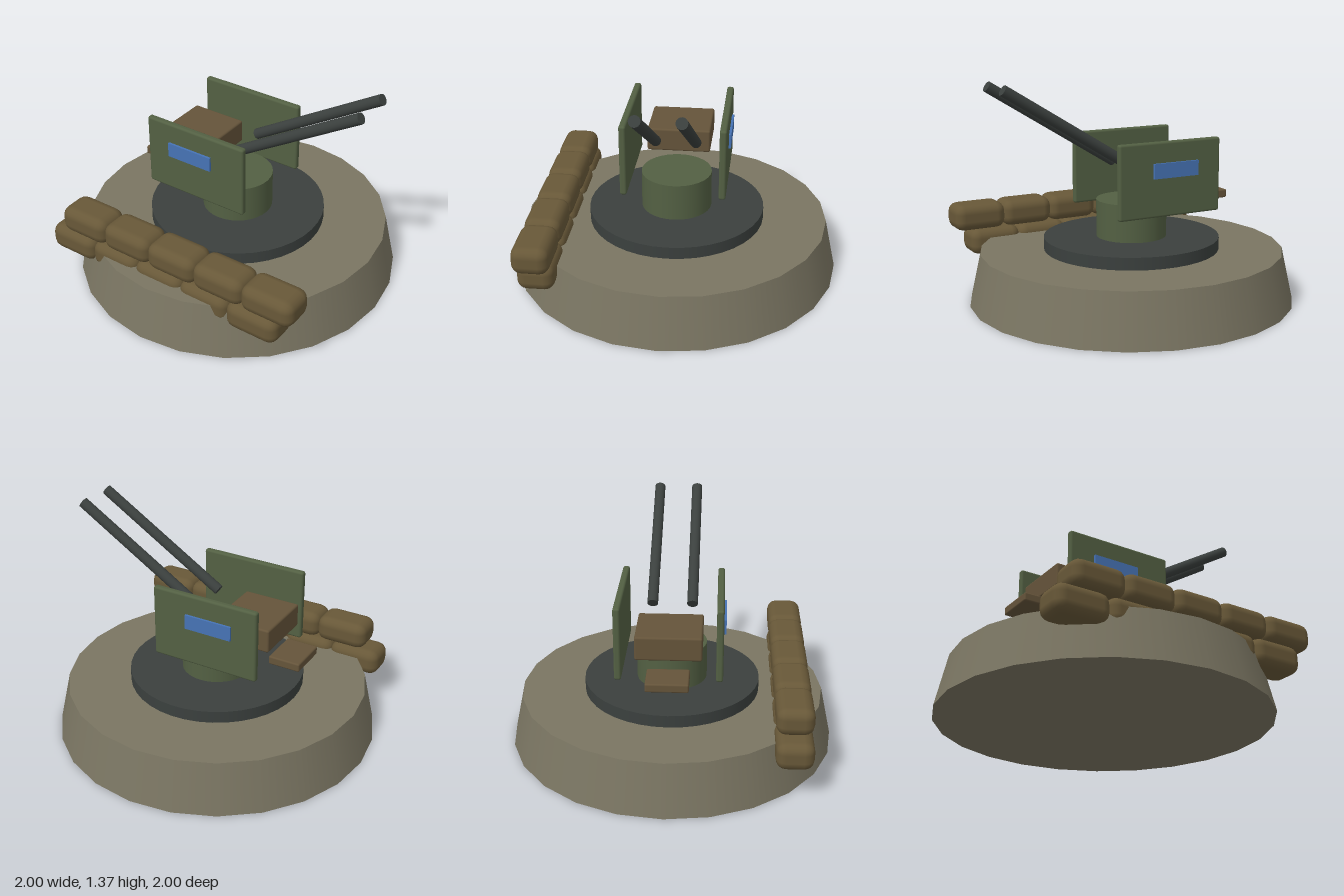
import * as THREE from 'three';
import { RoundedBoxGeometry } from 'three/addons/geometries/RoundedBoxGeometry.js';

const mat = (color) => new THREE.MeshStandardMaterial({ color });

export function createModel() {
  const model = new THREE.Group();
  const stone = mat(0x7a7562), iron = mat(0x3b403e), green = mat(0x536043);
  const leather = mat(0x65543a), canvas = mat(0x685838), glass = mat(0x4673b5);

  const add = (name, geometry, material, x, y, z, parent = model) => {
    const mesh = new THREE.Mesh(geometry, material);
    mesh.name = name;
    mesh.position.set(x, y, z);
    parent.add(mesh);
    return mesh;
  };

  // Round emplacement, turntable and pedestal
  add('base', new THREE.CylinderGeometry(0.93, 1, 0.315, 24), stone, 0, 0.1575, 0);
  add('turntable', new THREE.CylinderGeometry(0.54, 0.54, 0.075, 40), iron, 0, 0.3525, 0);
  add('pedestal', new THREE.CylinderGeometry(0.216, 0.216, 0.23, 32), green, 0, 0.505, 0);

  // Gun body and gunner's seat
  add('gunBody', new RoundedBoxGeometry(0.355, 0.145, 0.39, 2, 0.012), leather, -0.275, 0.772, 0);
  add('seat', new RoundedBoxGeometry(0.2, 0.053, 0.25, 2, 0.01), leather, -0.52, 0.61, 0);

  // Twin barrels, shields and sight windows, mirrored across z
  const start = new THREE.Vector3(0.06, 0.84, 0);
  const end = new THREE.Vector3(0.874, 1.338, 0);
  const direction = end.clone().sub(start);
  const middle = start.clone().add(end).multiplyScalar(0.5);
  for (const side of [1, -1]) {
    const barrel = add('barrel', new THREE.CylinderGeometry(0.033, 0.033, direction.length(), 16),
      iron, middle.x, middle.y, side * 0.122);
    barrel.quaternion.setFromUnitVectors(new THREE.Vector3(0, 1, 0), direction.clone().normalize());
    add('shield', new RoundedBoxGeometry(0.685, 0.45, 0.042, 2, 0.014), green, -0.0925, 0.785, side * 0.296);
    add('sightWindow', new THREE.BoxGeometry(0.302, 0.09, 0.03), glass, -0.124, 0.84, side * 0.316);
  }

  // Two staggered rows of sandbags along the front
  const sandbags = new THREE.Group();
  sandbags.name = 'sandbags';
  model.add(sandbags);
  const bag = new RoundedBoxGeometry(0.334, 0.168, 0.22, 2, 0.06);
  for (const [firstX, y] of [[-0.65, 0.287], [-0.552, 0.452]]) {
    for (let i = 0; i < 5; i++) add('sandbag', bag, canvas, firstX + i * 0.3225, y, 0.727, sandbags);
  }
  return model;
}
